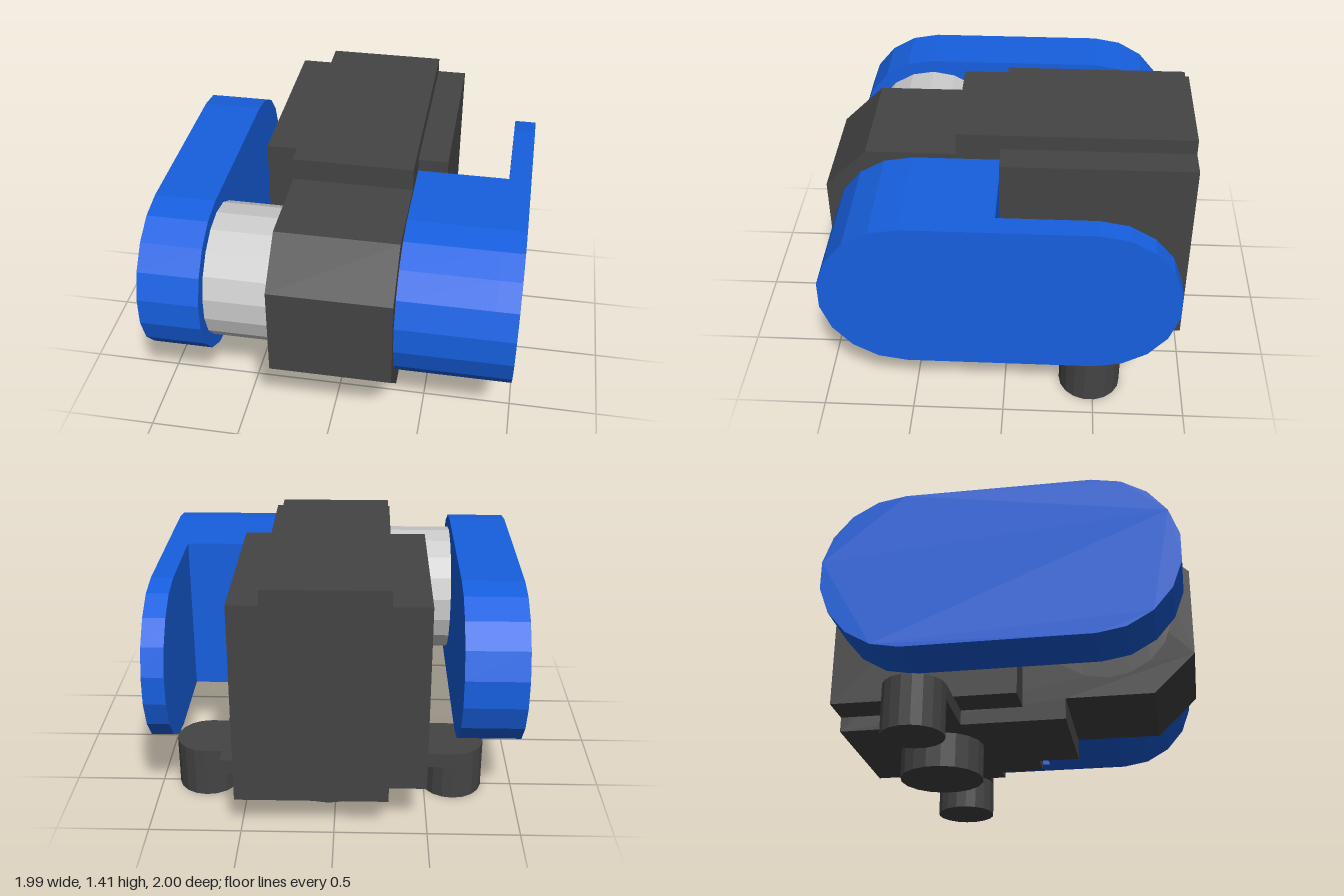
import * as THREE from 'three';

export function createModel() {
  const model = new THREE.Group();
  const material = (color) => new THREE.MeshStandardMaterial({ color, flatShading: true });
  const dark = material(0x444444);
  const blue = material(0x1760e0);
  const grey = material(0xcccccc);

  const add = (name, geometry, mat) => {
    const mesh = new THREE.Mesh(geometry, mat);
    mesh.name = name;
    model.add(mesh);
    return mesh;
  };

  // Box given by its extents
  const box = (name, x0, x1, y0, y1, z0, z1, mat = dark) =>
    add(name, new THREE.BoxGeometry(x1 - x0, y1 - y0, z1 - z0), mat)
      .position.set((x0 + x1) / 2, (y0 + y1) / 2, (z0 + z1) / 2);

  // Side profile of [z, y] points extruded across x
  const slab = (name, points, x0, x1, mat) => {
    const shape = new THREE.Shape(points.map(([z, y]) => new THREE.Vector2(z, y)));
    const geometry = new THREE.ExtrudeGeometry(shape, { depth: x1 - x0, bevelEnabled: false });
    geometry.rotateY(-Math.PI / 2).translate(x1, 0, 0);
    add(name, geometry, mat);
  };

  // Half-round end in 20 degree facets; dir = 1 faces front, -1 faces back
  const axisY = 0.805, frontZ = 0.515, backZ = -0.48, radius = 0.45;
  const roundEnd = (z, dir) => Array.from({ length: 10 }, (_, i) => {
    const a = -Math.PI / 2 + (i * Math.PI) / 9;
    return [z + dir * radius * Math.cos(a), axisY + dir * radius * Math.sin(a)];
  });

  // Central body with chamfered nose
  slab('body', [
    [-1, 0.2], [0.28, 0.2], [0.28, 0.32], [0.77, 0.32], [1, 0.545],
    [1, 1.06], [0.77, 1.285], [0.28, 1.285], [0.28, 1.41], [-1, 1.41],
  ], -0.29, 0.365, dark);

  // Stepped blocks on both sides of the body
  box('leftSideBlock', 0.365, 0.53, 0.2, 1.325, -1, 0.04);
  box('rightSideBlock', -0.49, -0.29, 0.285, 1.325, -1, 0.04);

  // Blue side covers
  const capsule = [...roundEnd(frontZ, 1), ...roundEnd(backZ, -1)];
  slab('rightCover', capsule, -1, -0.665, blue);
  slab('leftCover', capsule, 0.87, 0.99, blue);
  slab('leftCoverHousing',
    [[0.04, axisY - radius], ...roundEnd(frontZ, 1), [0.04, axisY + radius]], 0.365, 0.87, blue);

  // Grey drum between body and right cover
  const drum = add('drum', new THREE.CylinderGeometry(0.375, 0.375, 0.375, 18), grey);
  drum.geometry.rotateX(Math.PI / 2).rotateZ(Math.PI / 2).rotateY(Math.PI);
  drum.geometry.dispose();
  drum.geometry = new THREE.CylinderGeometry(0.375, 0.375, 0.375, 18)
    .rotateY(Math.PI / 2).rotateZ(Math.PI / 2);
  drum.position.set(-0.4775, axisY, 0.513);

  // Foot arms and mounting plate
  const footZ = -0.48;
  box('rightFootArm', -0.657, -0.29, 0.2, 0.285, footZ - 0.172, footZ + 0.172);
  box('mountingPlate', 0.53, 0.635, 0.2, 0.285, -0.75, -0.215);
  box('leftFootArm', 0.635, 0.732, 0.2, 0.285, footZ - 0.172, footZ + 0.172);

  // Feet
  const feet = [
    ['rightFoot', -0.657, 0.172, 0.285],
    ['centreFoot', 0.04, 0.24, 0.2],
    ['leftFoot', 0.732, 0.172, 0.285],
  ];
  for (const [name, x, r, h] of feet) {
    add(name, new THREE.CylinderGeometry(r, r, h, 18), dark).position.set(x, h / 2, footZ);
  }

  return model;
}
